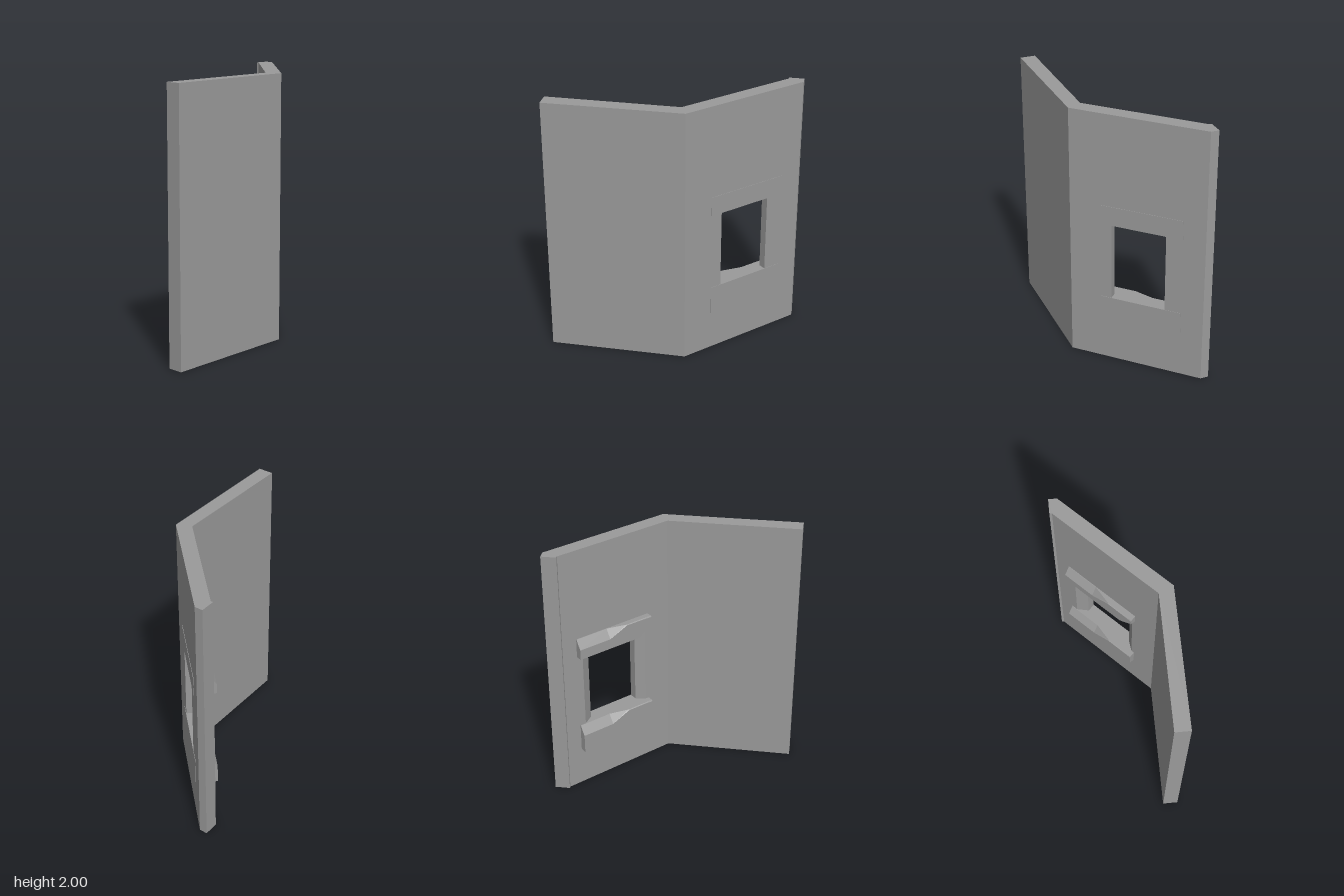
import * as THREE from 'three';
import { mergeGeometries } from 'three/addons/utils/BufferGeometryUtils.js';

const material = new THREE.MeshStandardMaterial({ color: 0x9a9a9a, flatShading: true });
const R = Math.SQRT1_2;

// depths of the slanted wall's faces, and of its splayed window jambs
const FRONT = 0.387, BACK = 0.276, SPLAY = 0.326;

// point on the slanted wall: u runs along it, d is its depth (front is larger)
const slant = (u, d) => [(d + u) * R, (d - u) * R];

function fromTriangles(points) {
  const geometry = new THREE.BufferGeometry();
  geometry.setAttribute('position', new THREE.Float32BufferAttribute(points.flat(), 3));
  geometry.computeVertexNormals();
  return geometry;
}

// upright faces around a closed plan of [x, z] corners
function sides(plan, y0, y1) {
  const points = [];
  plan.forEach(([ax, az], i) => {
    const [bx, bz] = plan[(i + 1) % plan.length];
    const a = [ax, y0, az], b = [bx, y0, bz], c = [bx, y1, bz], d = [ax, y1, az];
    points.push(a, b, c, a, c, d);
  });
  return fromTriangles(points);
}

// level face filling a plan, facing up or down
function cap(plan, y, up) {
  const s = up ? -1 : 1;
  const shape = new THREE.Shape(plan.map(([x, z]) => new THREE.Vector2(x, s * z)));
  const geometry = new THREE.ShapeGeometry(shape).toNonIndexed();
  geometry.deleteAttribute('uv');
  return geometry.rotateX(s * Math.PI / 2).translate(0, y, 0);
}

// bracing bar, slightly proud in front, with a tapering top chamfer and one clipped lower corner
function makeBar(y0, y1) {
  // position along wall, depth where the chamfer starts, its drop, lower clip
  const stations = [
    [0.057, 0.232, 0.01, 0.09], [0.165, 0.232, 0.005, 0], [0.28, 0.232, 0.005, 0],
    [0.43, 0.272, 0.07, 0], [0.693, 0.272, 0.07, 0],
  ];
  const rings = stations.map(([u, edge, drop, lift]) => [
    [u, y0, 0.39], [u, y1, 0.39], [u, y1, edge],
    [u, y1 - drop, 0.226], [u, y0 + lift, 0.226], [u, y0 + lift * 0.6, 0.272],
  ]);
  const points = [];
  const n = rings[0].length;
  for (let i = 0; i < rings.length - 1; i++) {
    for (let j = 0; j < n; j++) {
      const k = (j + 1) % n;
      const a = rings[i][j], b = rings[i + 1][j], c = rings[i + 1][k], d = rings[i][k];
      points.push(a, b, c, a, c, d);
    }
  }
  const first = rings[0], last = rings[rings.length - 1];
  for (let j = 1; j < n - 1; j++) {
    points.push(first[0], first[j], first[j + 1], last[0], last[j + 1], last[j]);
  }
  return fromTriangles(points).rotateY(Math.PI / 4);
}

export function createModel() {
  const group = new THREE.Group();
  const add = (name, geometry) => {
    const mesh = new THREE.Mesh(geometry, material);
    mesh.name = name;
    group.add(mesh);
  };
  const sill = 0.53, lintel = 1.14;

  // plan of the bent wall, split into its two ends
  const leftFront = [[-0.883, 0.398], slant(-0.176, FRONT)];
  const rightEnd = [slant(0.862, FRONT), [0.883, -0.398], [0.77, -0.398], slant(0.813, BACK)];
  const leftBack = [slant(-0.134, BACK), [-0.883, 0.283]];
  const plan = [...leftFront, ...rightEnd, ...leftBack];

  // window jambs: straight in front, splayed behind
  const nearJamb = [slant(0.148, FRONT), slant(0.148, SPLAY), slant(0.083, BACK)];
  const farJamb = [slant(0.645, BACK), slant(0.566, SPLAY), slant(0.566, FRONT)];
  const opening = [...nearJamb, ...farJamb];

  add('wall', mergeGeometries([
    sides(plan, 0, sill),
    sides([...leftFront, ...nearJamb, ...leftBack], sill, lintel),
    sides([...farJamb, ...rightEnd], sill, lintel),
    sides(plan, lintel, 2),
    cap(plan, 0, false),
    cap(plan, 2, true),
    cap(opening, sill, true),
    cap(opening, lintel, false),
  ]));

  // bars above and below the window
  add('lintelBar', makeBar(lintel, 1.29));
  add('sillBar', makeBar(0.31, sill));
  return group;
}
